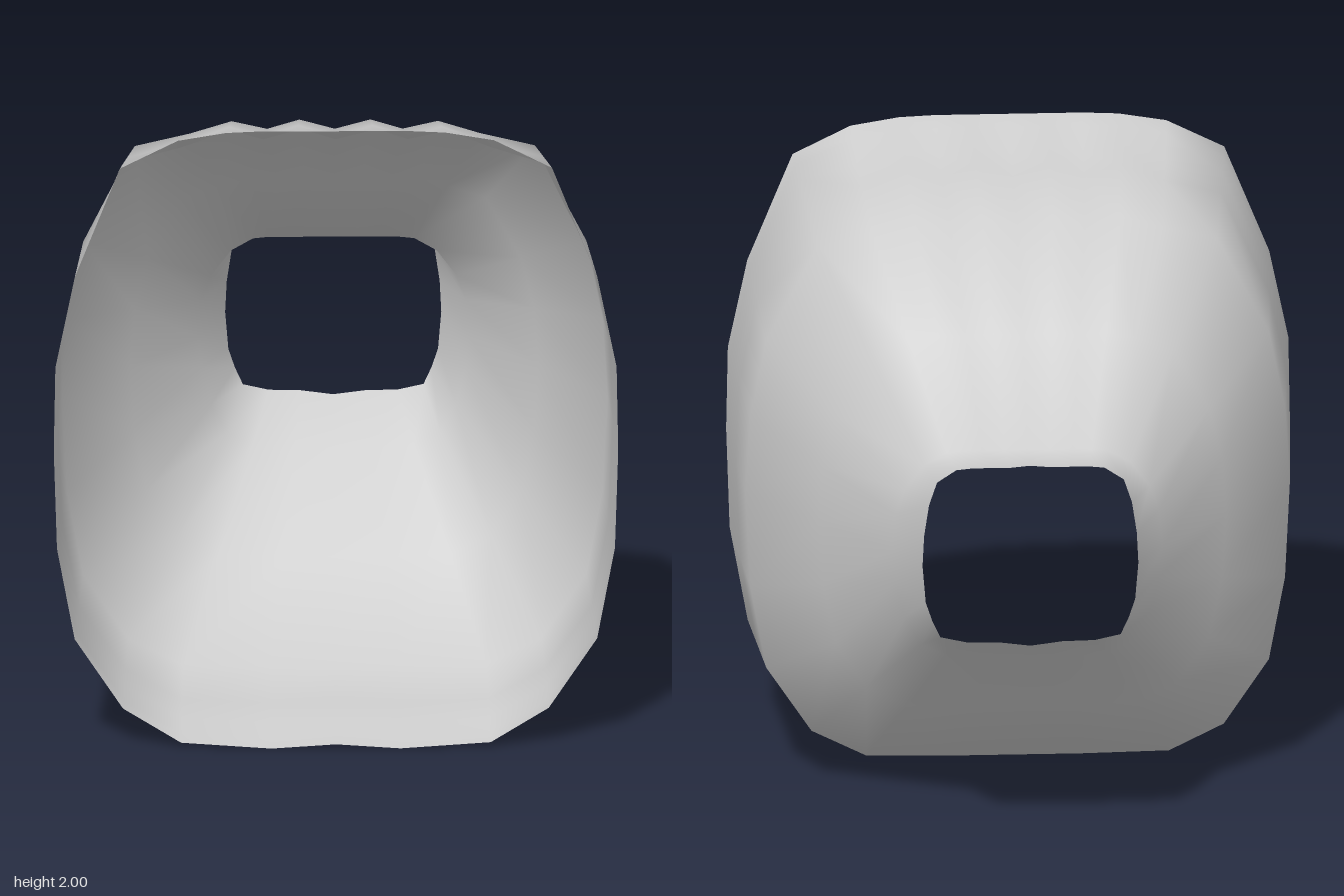
import * as THREE from 'three';

// Half cross-sections [x, y, z], top centre round the left side to bottom centre
const rim = [
  [0, 2, 0.66], [0.12, 2, 0.66], [0.23, 2, 0.66], [0.34, 1.995, 0.66], [0.49, 1.97, 0.66], [0.67, 1.88, 0.66],
  [0.81, 1.53, 0.67], [0.87, 1.24, 0.68], [0.875, 0.97, 0.685], [0.865, 0.65, 0.67], [0.81, 0.35, 0.65],
  [0.66, 0.12, 0.635], [0.48, 0.015, 0.655], [0.2, 0.0, 0.67], [0, 0.015, 0.675],
];
const shoulder = [
  [0, 1.86], [0.11, 1.865], [0.21, 1.86], [0.32, 1.86], [0.45, 1.845], [0.62, 1.78],
  [0.78, 1.47], [0.83, 1.22], [0.845, 0.97], [0.83, 0.66], [0.78, 0.39],
  [0.64, 0.18], [0.47, 0.095], [0.2, 0.09], [0, 0.09],
].map(([x, y]) => [x, y, 0.1]);
const neck = [
  [0, 1.305], [0.07, 1.305], [0.14, 1.305], [0.2, 1.305], [0.25, 1.3], [0.32, 1.26],
  [0.38, 1.18], [0.41, 1.1], [0.42, 0.98], [0.41, 0.88], [0.38, 0.76],
  [0.33, 0.67], [0.25, 0.63], [0.12, 0.62], [0, 0.62],
].map(([x, y]) => [x, y, -0.48]);
const mouth = [
  [0, 1.32, -0.665], [0.06, 1.32], [0.12, 1.32], [0.18, 1.32], [0.23, 1.315], [0.29, 1.275],
  [0.315, 1.2], [0.33, 1.1], [0.335, 1.0], [0.325, 0.88], [0.305, 0.82],
  [0.28, 0.765], [0.2, 0.747], [0.1, 0.745], [0, 0.732],
].map(([x, y, z = -0.68]) => [x, y, z]);

// Blend two sections, sinking every other top point into a fold
// and lifting the underside a little
function blend(a, b, t, fold, lift = 0) {
  return a.map((p, i) => {
    const q = p.map((v, k) => v + (b[i][k] - v) * t);
    if (i <= 4 && i % 2 === 0) q[1] -= fold;
    if (i >= 11) q[1] += lift;
    return q;
  });
}

// Mirror a half section into a closed ring
const closeRing = (half) => [
  ...half,
  ...half.slice(1, -1).reverse().map(([x, y, z]) => [-x, y, z]),
];

// Skin a list of rings as one smooth surface
function loft(rings) {
  const n = rings[0].length, index = [];
  for (let r = 0; r < rings.length - 1; r++) {
    for (let i = 0; i < n; i++) {
      const j = (i + 1) % n;
      const a = r * n + i, b = r * n + j, c = a + n, d = b + n;
      index.push(a, b, c, b, d, c);
    }
  }
  const g = new THREE.BufferGeometry();
  g.setAttribute('position', new THREE.Float32BufferAttribute(rings.flat(2), 3));
  g.setIndex(index);
  g.computeVertexNormals();
  return g;
}

export function createModel() {
  const group = new THREE.Group();
  group.name = 'funnelHood';
  const sections = [
    rim,
    blend(rim, shoulder, 0.12, 0.005),
    blend(rim, shoulder, 0.28, 0.035, 0.01),
    blend(rim, shoulder, 0.5, 0.035, 0.015),
    blend(shoulder, neck, 0, 0.025),
    blend(shoulder, neck, 0.5, 0.012),
    neck,
    mouth,
  ];
  const material = new THREE.MeshStandardMaterial({ color: 0xcccccc, side: THREE.DoubleSide });
  const shell = new THREE.Mesh(loft(sections.map(closeRing)), material);
  shell.name = 'funnelShell';
  group.add(shell);
  return group;
}
